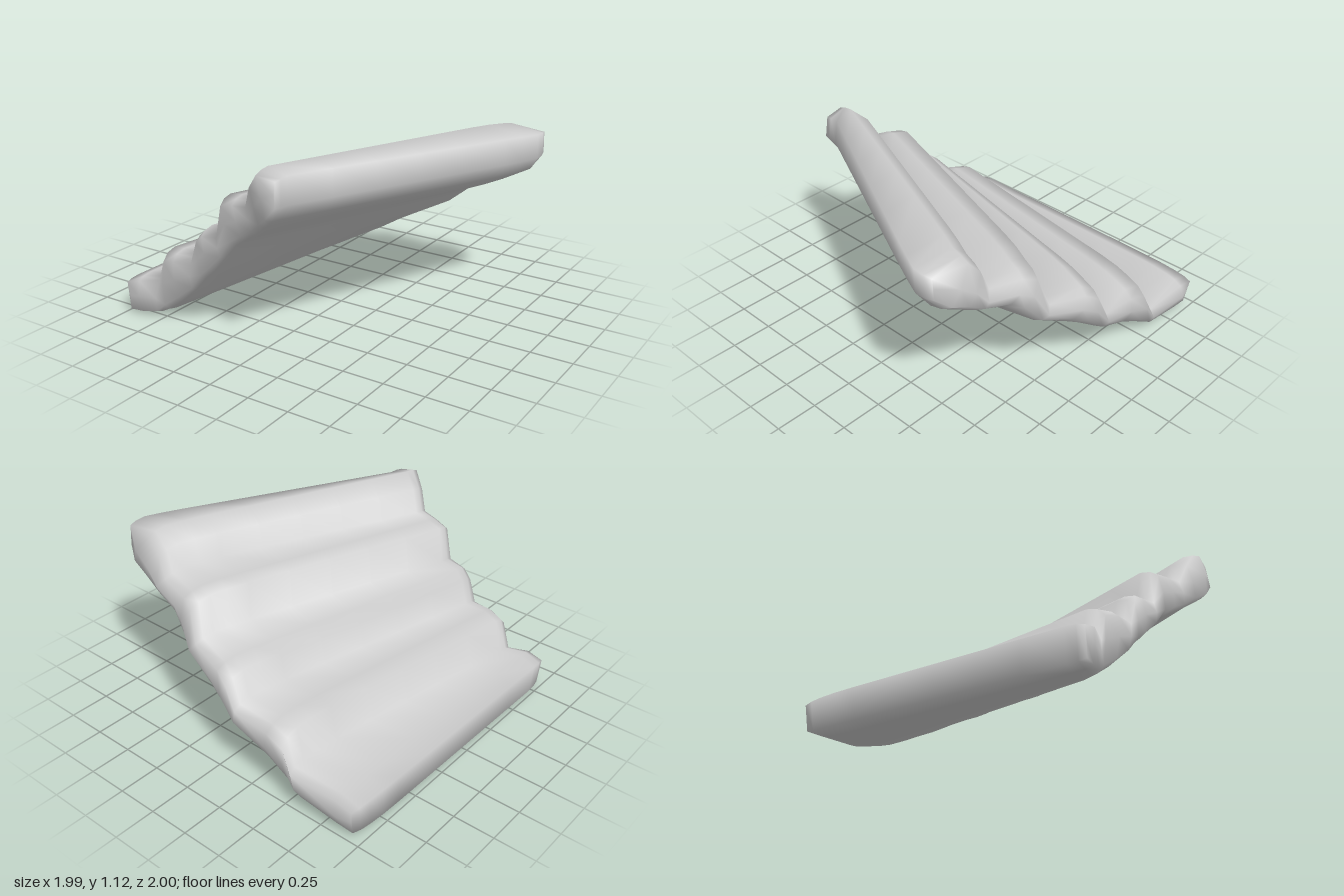
import * as THREE from 'three';

// One row per point across the flight, from the bottom step to the top nose:
// top [front x, back x, y, front z, back z], underside [front x, back x, y, front z, back z]
const SECTION = [
  [[-1.0, -0.97, 0.20, 0.82, -0.99], [-0.98, -0.96, 0.01, 0.82, -0.96]],
  [[-0.90, -0.86, 0.24, 0.82, -0.99], [-0.90, -0.85, 0.00, 0.81, -0.96]],
  [[-0.77, -0.50, 0.235, 0.79, -0.98], [-0.80, -0.62, 0.01, 0.79, -0.95]],
  [[-0.72, -0.46, 0.43, 0.79, -0.98], [-0.74, -0.50, 0.03, 0.78, -0.94]],
  [[-0.62, -0.35, 0.45, 0.82, -0.97], [-0.62, -0.33, 0.12, 0.79, -0.93]],
  [[-0.48, -0.10, 0.45, 0.82, -0.97], [-0.50, -0.12, 0.23, 0.80, -0.93]],
  [[-0.44, -0.06, 0.60, 0.82, -0.96], [-0.40, 0.05, 0.33, 0.82, -0.92]],
  [[-0.38, 0.02, 0.65, 0.84, -0.93], [-0.33, 0.16, 0.39, 0.83, -0.90]],
  [[-0.26, 0.27, 0.66, 0.85, -0.86], [-0.23, 0.36, 0.50, 0.85, -0.85]],
  [[-0.22, 0.31, 0.87, 0.86, -0.82], [-0.13, 0.50, 0.60, 0.87, -0.82]],
  [[-0.12, 0.40, 0.89, 0.88, -0.79], [-0.04, 0.57, 0.66, 0.89, -0.79]],
  [[-0.01, 0.63, 0.90, 0.90, -0.73], [0.05, 0.72, 0.72, 0.91, -0.77]],
  [[0.04, 0.66, 1.03, 0.93, -0.72], [0.13, 0.85, 0.78, 0.95, -0.76]],
  [[0.13, 0.76, 1.115, 0.98, -0.72], [0.20, 0.95, 0.84, 0.99, -0.74]],
  [[0.25, 1.0, 1.08, 0.97, -0.68], [0.26, 1.0, 0.93, 0.99, -0.69]],
];

// Stations from front to back: [position, narrowing that rounds the ends]
const STATIONS = [[0, 0.3], [0.025, 0.08], [0.06, 0], [0.2, 0], [0.35, 0], [0.5, 0],
  [0.65, 0], [0.8, 0], [0.87, 0.03], [0.93, 0.12], [0.97, 0.26], [1, 0.5]];
// How far the middle of each end face swells out
const FRONT_BULGE = 0.01, BACK_BULGE = 0.03;

const { lerp, clamp } = THREE.MathUtils;

function flightGeometry() {
  const n = SECTION.length, ring = 2 * n, pos = [], index = [];
  const quad = (a, b, c, d) => index.push(a, b, c, a, c, d);
  const pairsAt = (t) => {
    const u = clamp((t - 0.06) / 0.88, 0, 1);
    const at = ([xf, xb, y, zf, zb]) => new THREE.Vector3(lerp(xf, xb, u), y, lerp(zf, zb, t));
    return SECTION.map(([top, under]) => [at(top), at(under)]);
  };

  for (const [t, shrink] of STATIONS) {
    const pairs = pairsAt(t);
    const centreX = (pairs[0][0].x + pairs[n - 1][0].x) / 2;
    const place = (i, from, to) => {
      // The bottom step and the nose keep fuller corners
      const s = shrink * Math.min(1, 0.35 + 0.25 * Math.min(i, n - 1 - i));
      const v = pairs[i][from].clone().lerp(pairs[i][to], s / 2);
      pos.push(lerp(v.x, centreX, shrink * 0.05), v.y, v.z);
    };
    for (let i = 0; i < n; i++) place(i, 0, 1);
    for (let i = n - 1; i >= 0; i--) place(i, 1, 0);
  }

  // Skin between stations
  for (let j = 0; j < STATIONS.length - 1; j++) {
    for (let i = 0; i < ring; i++) {
      const k = (i + 1) % ring, a = j * ring, b = a + ring;
      quad(a + i, a + k, b + k, b + i);
    }
  }

  // Front and back end faces, each swelling along a middle ridge
  const addEnd = (t, base, bulge, flip) => {
    const ridge = pos.length / 3;
    pairsAt(t).forEach(([top, under], i) => {
      const rim = i === 0 || i === n - 1;
      const m = top.lerp(under, 0.5);
      pos.push(lerp(m.x, t ? 0.02 : -0.37, rim ? 0.03 : 0), m.y, m.z + (rim ? 0 : bulge));
    });
    const face = (a, b, c, d) => (flip ? quad(d, c, b, a) : quad(a, b, c, d));
    for (let i = 0; i < n - 1; i++) {
      const under = base + ring - 1 - i;
      face(base + i, ridge + i, ridge + i + 1, base + i + 1);
      face(ridge + i, under, under - 1, ridge + i + 1);
    }
    // Close the short sides of the ridge
    const rimTri = (a, b, c) => (flip ? index.push(c, b, a) : index.push(a, b, c));
    rimTri(base, base + ring - 1, ridge);
    rimTri(base + n - 1, ridge + n - 1, base + n);
  };
  addEnd(0, 0, FRONT_BULGE, false);
  addEnd(1, (STATIONS.length - 1) * ring, -BACK_BULGE, true);

  const geometry = new THREE.BufferGeometry();
  geometry.setAttribute('position', new THREE.Float32BufferAttribute(pos, 3));
  geometry.setIndex(index);
  geometry.computeVertexNormals();
  return geometry;
}

export function createModel() {
  const group = new THREE.Group();
  group.name = 'fannedStaircase';
  const flight = new THREE.Mesh(flightGeometry(), new THREE.MeshStandardMaterial({ color: 0xcccccc }));
  flight.name = 'stairFlight';
  group.add(flight);
  return group;
}
